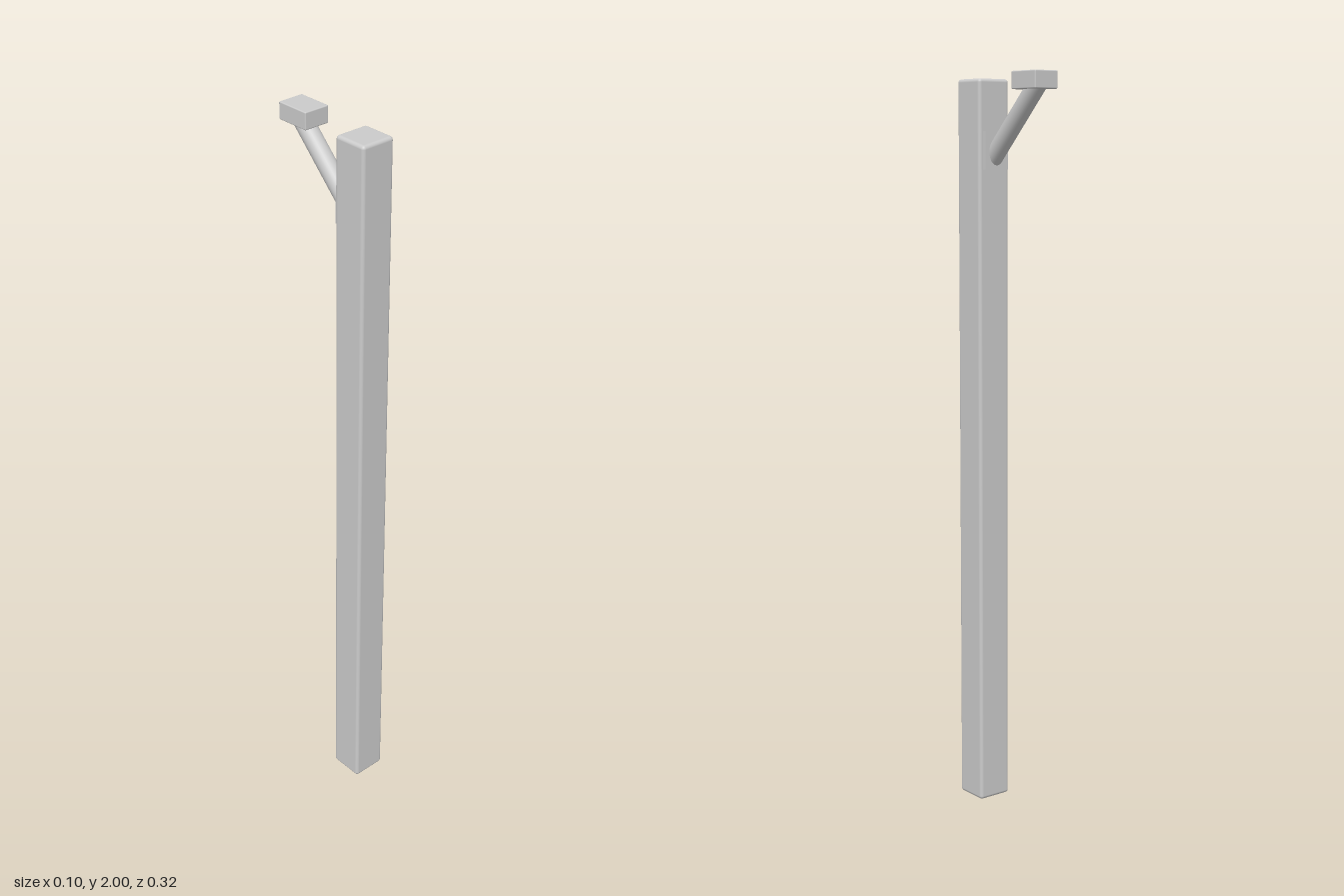
import * as THREE from 'three';
import { RoundedBoxGeometry } from 'three/addons/geometries/RoundedBoxGeometry.js';

const grey = new THREE.MeshStandardMaterial({ color: 0xcccccc });

export function createModel() {
  const group = new THREE.Group();

  const add = (name, geometry, x, y, z) => {
    const mesh = new THREE.Mesh(geometry, grey);
    mesh.name = name;
    mesh.position.set(x, y, z);
    group.add(mesh);
    return mesh;
  };

  // Tall square post with softened edges
  add('post', new RoundedBoxGeometry(0.098, 1.985, 0.098, 4, 0.009), 0, 0.9925, 0.109);

  // Mounting plate on the back of the post
  add('mountingPlate', new THREE.BoxGeometry(0.074, 0.1, 0.016), 0, 1.8, 0.057);

  // Round arm rising backwards at 45 degrees, its ends sunk into post and head
  const start = new THREE.Vector3(0, 1.775, 0.07);
  const end = new THREE.Vector3(0, 1.975, -0.13);
  const direction = end.clone().sub(start);
  const middle = start.clone().lerp(end, 0.5);
  const arm = add('arm', new THREE.CylinderGeometry(0.025, 0.025, direction.length(), 32),
    middle.x, middle.y, middle.z);
  arm.quaternion.setFromUnitVectors(new THREE.Vector3(0, 1, 0), direction.normalize());

  // Small block carried by the arm
  add('head', new RoundedBoxGeometry(0.074, 0.046, 0.098, 2, 0.003), 0, 1.977, -0.109);

  return group;
}
